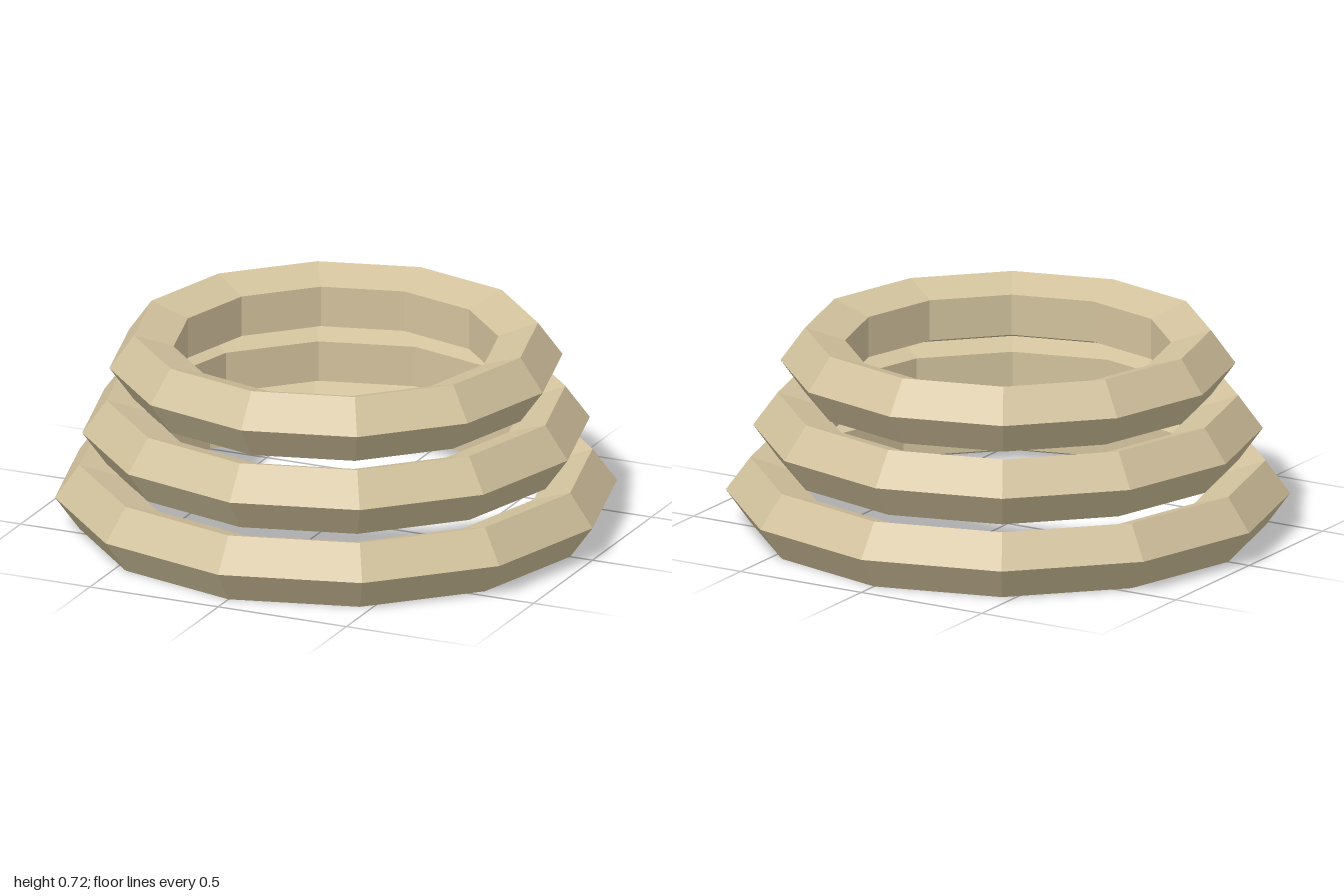
import * as THREE from 'three';

export function createModel() {
  const model = new THREE.Group();
  model.name = 'ringStack';
  const material = new THREE.MeshStandardMaterial({ color: 0xd2c29d });
  material.flatShading = true;

  // Three twelve-sided rings with a five-sided section, shrinking upwards
  const tube = 0.1262;
  const halfHeight = tube * Math.sin(Math.PI * 0.4);
  const names = ['lowerRing', 'middleRing', 'upperRing'];
  [0.874, 0.777, 0.68].forEach((radius, i) => {
    const geometry = new THREE.TorusGeometry(radius, tube, 5, 12);
    geometry.rotateX(-Math.PI / 2);
    const ring = new THREE.Mesh(geometry, material);
    ring.name = names[i];
    ring.position.y = halfHeight * (1 + 2 * i);
    model.add(ring);
  });
  return model;
}
